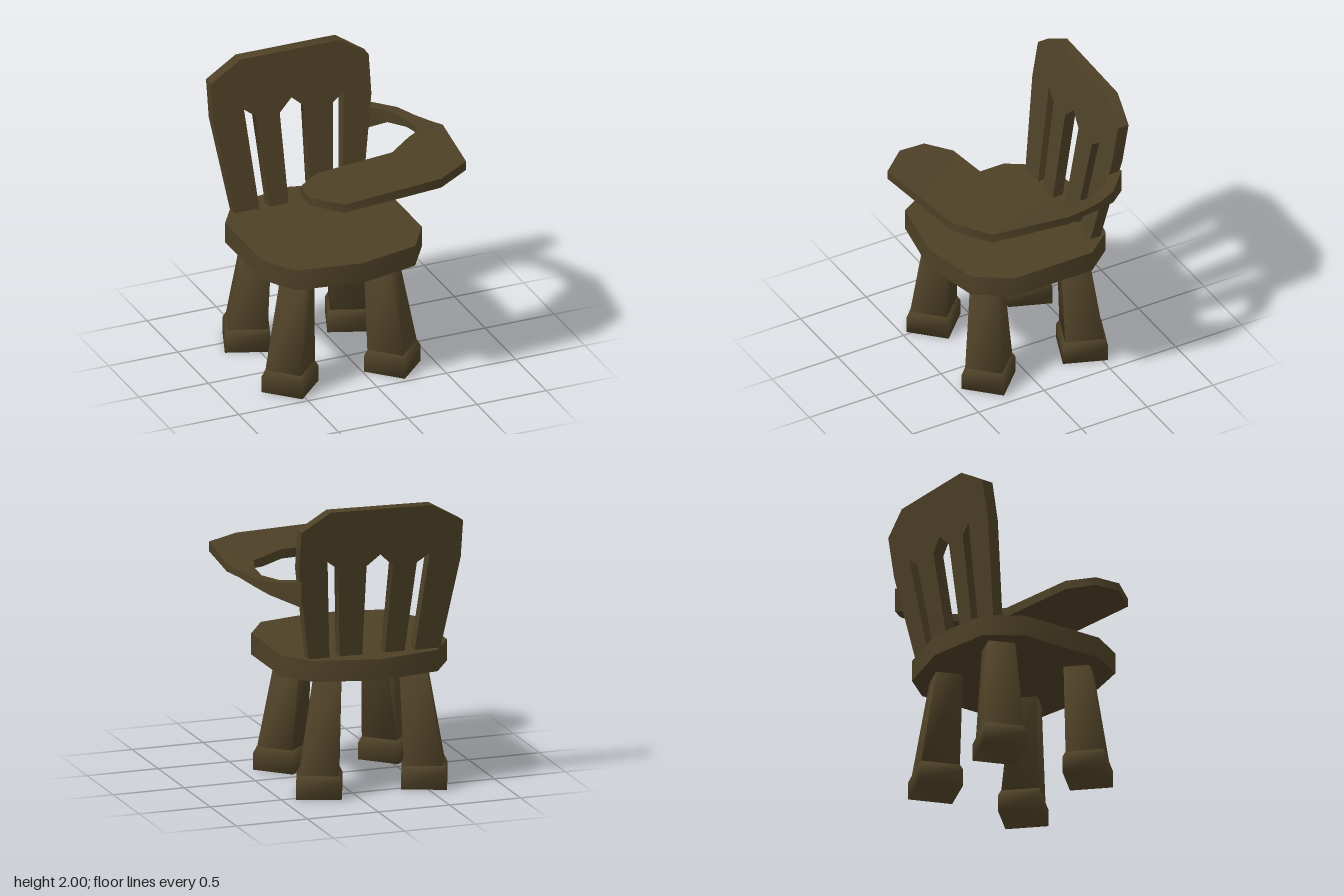
import * as THREE from 'three';
import { toCreasedNormals } from 'three/addons/utils/BufferGeometryUtils.js';

const wood = new THREE.MeshStandardMaterial({ color: 0x4d4026 });
wood.name = 'dark brown wood';

// Joins equal-length convex rings of [x, y, z] points and caps both ends
function loft(rings, crease) {
  const n = rings[0].length, index = [];
  const at = (ring, j) => ring * n + (j % n);
  for (let i = 0; i < rings.length - 1; i++) {
    for (let j = 0; j < n; j++) {
      index.push(at(i, j), at(i, j + 1), at(i + 1, j + 1));
      index.push(at(i, j), at(i + 1, j + 1), at(i + 1, j));
    }
  }
  const last = rings.length - 1;
  for (let j = 1; j < n - 1; j++) {
    index.push(at(0, 0), at(0, j + 1), at(0, j));
    index.push(at(last, 0), at(last, j), at(last, j + 1));
  }
  const geo = new THREE.BufferGeometry();
  geo.setAttribute('position', new THREE.Float32BufferAttribute(rings.flat(2), 3));
  geo.setIndex(index);
  return toCreasedNormals(geo, crease);
}

// Horizontal square ring, turned about y
function square(x, y, z, radius, turn) {
  return [0, 1, 2, 3].map((k) => {
    const a = turn + k * Math.PI / 2;
    return [x + radius * Math.sin(a), y, z + radius * Math.cos(a)];
  });
}

function addMesh(group, name, geometry) {
  const mesh = new THREE.Mesh(geometry, wood);
  mesh.name = name;
  group.add(mesh);
}

// Splayed leg on a wider square foot
function addLeg(group, name, bottom, top, turn, scale) {
  const [bx, bz] = bottom, [tx, tz] = top;
  addMesh(group, name + 'Foot', loft([
    square(bx, 0, bz, 0.205 * scale, turn),
    square(bx, 0.115, bz, 0.205 * scale, turn),
    square(bx, 0.158, bz, 0.18 * scale, turn),
  ], 1.65));
  addMesh(group, name, loft([
    square(bx, 0.14, bz, 0.18 * scale, turn),
    square(tx, 0.83, tz, 0.122 * scale, turn),
  ], 1.58));
}

export function createModel() {
  const chair = new THREE.Group();
  chair.name = 'highChair';

  // Seat slab with clipped corners
  const outline = [
    [0.455, 0.2], [0.455, -0.39], [0.3, -0.58], [-0.12, -0.69], [-0.56, -0.61],
    [-0.71, -0.38], [-0.71, 0.22], [-0.57, 0.45], [-0.12, 0.53], [0.3, 0.44],
  ];
  const seatRing = (y) => outline.map(([x, z]) => [x, y, z]);
  addMesh(chair, 'seat', loft([seatRing(0.81), seatRing(0.955)], 1.0));

  // Legs
  const backTurn = THREE.MathUtils.degToRad(24);
  addLeg(chair, 'frontRightLeg', [-0.525, 0.26], [-0.457, 0.233], 0, 1);
  addLeg(chair, 'frontLeftLeg', [0.215, 0.26], [0.14, 0.233], 0, 1);
  addLeg(chair, 'backRightLeg', [-0.525, -0.45], [-0.457, -0.415], backTurn, 1.04);
  addLeg(chair, 'backLeftLeg', [0.215, -0.45], [0.14, -0.415], backTurn, 1.04);

  // Slatted backrest: one board with three slots open at the bottom
  const board = new THREE.Shape([
    [-0.59, 0.9], [-0.415, 0.9], [-0.48, 1.645], [-0.395, 1.585],
    [-0.345, 0.9], [-0.21, 0.9], [-0.23, 1.58], [-0.14, 1.67], [-0.045, 1.59],
    [-0.055, 0.9], [0.1, 0.9], [0.15, 1.585], [0.23, 1.645],
    [0.17, 0.9], [0.31, 0.9], [0.425, 1.6], [0.425, 1.87],
    [0.23, 2.0], [-0.48, 1.99], [-0.7, 1.86], [-0.7, 1.6],
  ].map(([x, y]) => new THREE.Vector2(x, y)));
  const back = new THREE.ExtrudeGeometry(board, { depth: 0.075, bevelEnabled: false });
  // Lean it backwards and turn it slightly
  const pos = back.attributes.position;
  for (let i = 0; i < pos.count; i++) {
    const x = pos.getX(i), y = pos.getY(i);
    const lift = pos.getZ(i) > 0.01 ? 0 : -0.07 * (y - 0.9) * 0.1;
    pos.setZ(i, pos.getZ(i) - 0.075 - 0.465 - 0.165 * (y - 0.96) + 0.03 * x + lift);
  }
  addMesh(chair, 'backrest', toCreasedNormals(back, 0.9));

  // Tray and its curved arm: inner x, z, outer x, z, bottom y, top y
  const sections = [
    [-0.49, 0.35, -0.50, 0.53, 1.46, 1.515],
    [-0.32, 0.225, -0.33, 0.72, 1.46, 1.52],
    [0.26, 0.155, 0.40, 0.64, 1.46, 1.525],
    [0.45, 0.0, 0.65, 0.48, 1.465, 1.53],
    [0.53, -0.05, 0.725, -0.07, 1.475, 1.53],
    [0.565, -0.17, 0.685, -0.2, 1.465, 1.51],
    [0.565, -0.30, 0.64, -0.34, 1.44, 1.495],
    [0.50, -0.47, 0.58, -0.48, 1.41, 1.5],
    [0.36, -0.56, 0.41, -0.64, 1.345, 1.51],
  ];
  addMesh(chair, 'trayArm', loft(sections.map(([ix, iz, ox, oz, low, high]) => [
    [ox, low, oz], [ix, low, iz], [ix, high, iz], [ox, high, oz],
  ]), 1.1));

  return chair;
}
